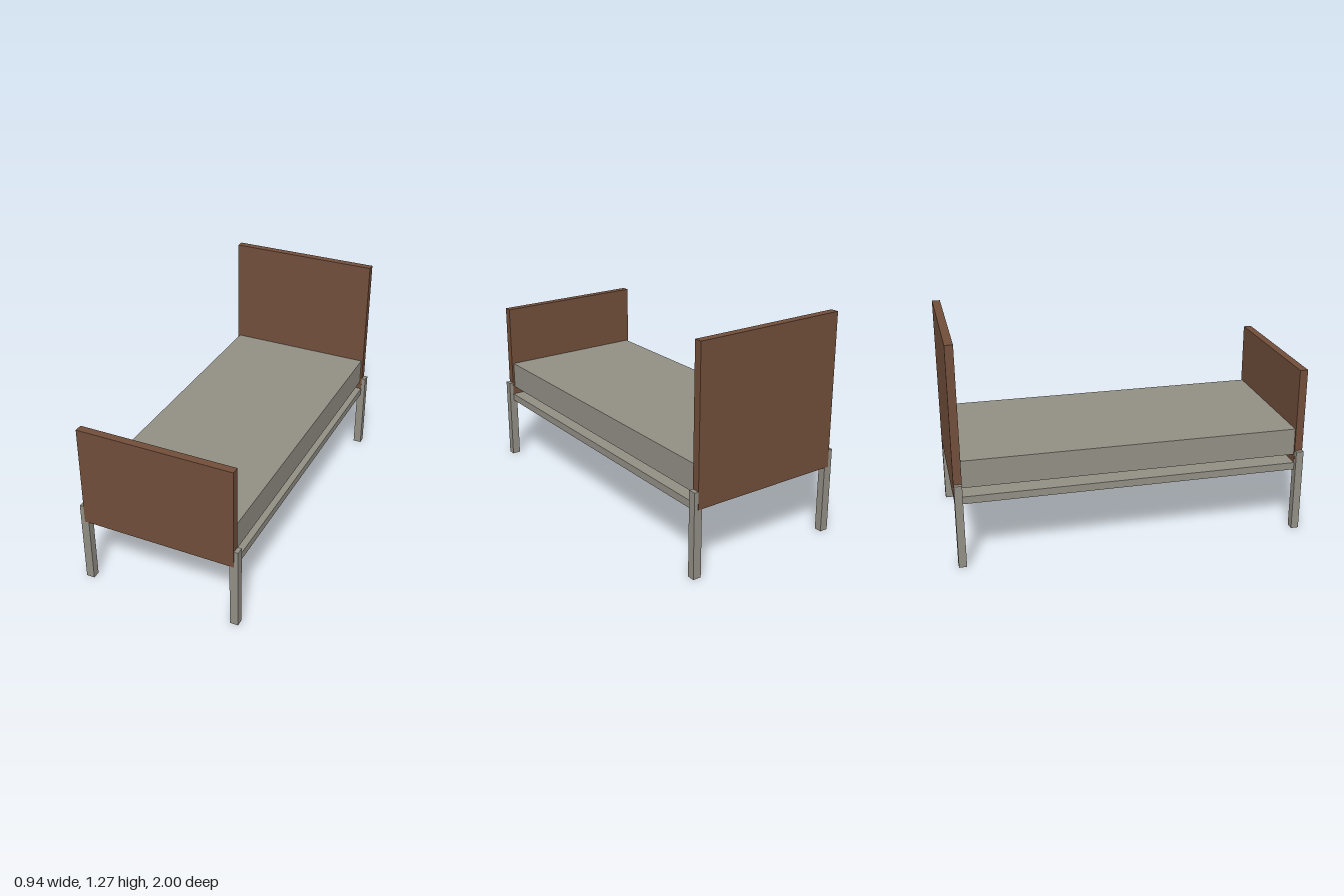
import * as THREE from 'three';

export function createModel() {
  const bed = new THREE.Group();
  bed.name = 'bed';

  const grey = new THREE.MeshStandardMaterial({ color: 0x928f85 });
  grey.name = 'warm grey';
  const wood = new THREE.MeshStandardMaterial({ color: 0x714e3a });
  wood.name = 'brown wood';

  // Box given by its lower and upper corners
  const box = (name, material, [x0, y0, z0], [x1, y1, z1]) => {
    const mesh = new THREE.Mesh(new THREE.BoxGeometry(x1 - x0, y1 - y0, z1 - z0), material);
    mesh.position.set((x0 + x1) / 2, (y0 + y1) / 2, (z0 + z1) / 2);
    mesh.name = name;
    bed.add(mesh);
  };

  const inner = 0.955; // inner face of the end boards and legs

  // Base slab and the mattress floating above it
  box('baseSlab', grey, [-0.447, 0.372, -inner], [0.447, 0.415, inner]);
  box('mattress', grey, [-0.435, 0.462, -inner], [0.435, 0.62, inner]);

  // End boards, a hair proud of the legs so the faces do not coincide
  box('footboard', wood, [-0.447, 0.39, inner - 0.001], [0.447, 0.978, 1]);
  box('headboard', wood, [-0.447, 0.39, -1], [0.447, 1.27, -inner + 0.001]);

  // Four square legs standing at the corners
  for (const [side, sx] of [['Left', 1], ['Right', -1]]) {
    for (const [end, sz] of [['front', 1], ['back', -1]]) {
      const x = sx * 0.447, z = sz * 0.977;
      box(`${end}${side}Leg`, grey, [x - 0.024, 0, z - 0.022], [x + 0.024, 0.49, z + 0.022]);
    }
  }
  return bed;
}
